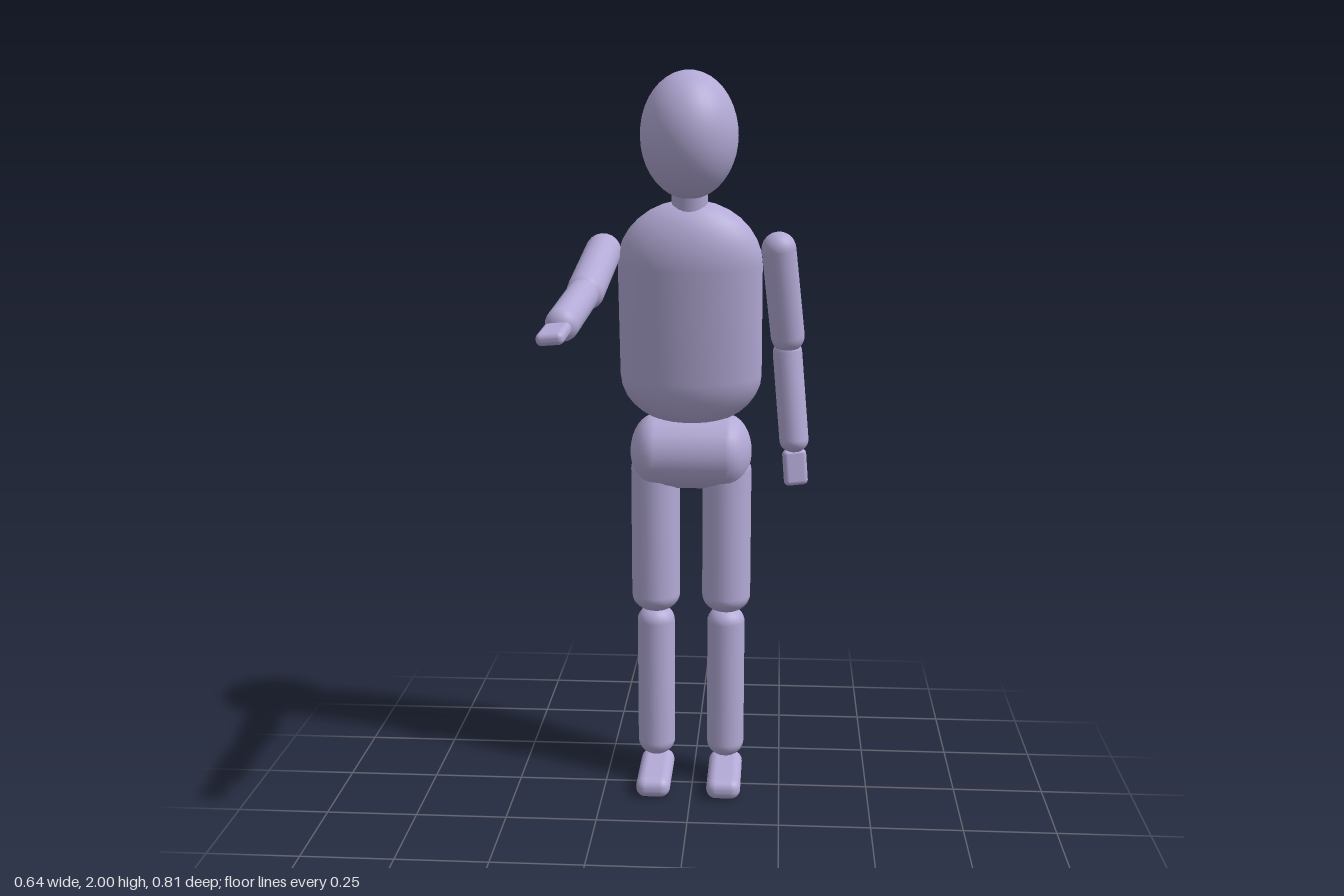
import * as THREE from 'three';
import { RoundedBoxGeometry } from 'three/addons/geometries/RoundedBoxGeometry.js';

const UP = new THREE.Vector3(0, 1, 0);

export function createModel() {
  const lilac = new THREE.MeshStandardMaterial({ color: 0xb3aad6 });
  lilac.name = 'lilac';
  const model = new THREE.Group();
  model.name = 'mannequin';

  const add = (name, geometry, position) => {
    const mesh = new THREE.Mesh(geometry, lilac);
    mesh.name = name;
    mesh.position.set(...position);
    model.add(mesh);
    return mesh;
  };

  // Round bar from tip a to tip b, with elliptical caps; depth squashes its z
  const limb = (name, a, b, radius, capA, capB = capA, depth = 1, sides = 20) => {
    const start = new THREE.Vector3(...a), end = new THREE.Vector3(...b);
    const length = start.distanceTo(end);
    const points = [];
    const steps = 8;
    for (let i = 0; i <= steps; i++) {
      const t = (i / steps) * Math.PI / 2;
      points.push(new THREE.Vector2(radius * Math.sin(t), capA * (1 - Math.cos(t))));
    }
    for (let i = steps; i >= 0; i--) {
      const t = (i / steps) * Math.PI / 2;
      points.push(new THREE.Vector2(radius * Math.sin(t), length - capB * (1 - Math.cos(t))));
    }
    const geometry = new THREE.LatheGeometry(points, sides);
    geometry.scale(1, 1, depth);
    const mesh = add(name, geometry, a);
    mesh.quaternion.setFromUnitVectors(UP, end.sub(start).normalize());
    return mesh;
  };

  // Head, slightly bowed, and neck
  const head = add('head', new THREE.SphereGeometry(1, 32, 20), [-0.006, 1.838, -0.19]);
  head.scale.set(0.127, 0.163, 0.142);
  head.rotation.x = 0.14;
  const neck = add('neck', new THREE.CylinderGeometry(0.048, 0.048, 0.16, 20), [-0.006, 1.65, -0.222]);
  neck.rotation.x = 0.14;

  // Torso leans forward over a sideways pelvis
  limb('torso', [-0.007, 1.055, -0.31], [-0.007, 1.672, -0.222], 0.193, 0.145, 0.17, 0.56, 28);
  limb('pelvis', [-0.175, 0.98, -0.3], [0.161, 0.98, -0.3], 0.104, 0.07);

  // Legs and feet
  for (const [side, x] of [['right', -0.106], ['left', 0.093]]) {
    limb(side + 'Thigh', [x, 0.515, -0.297], [x, 0.98, -0.297], 0.068, 0.05);
    limb(side + 'Shin', [x, 0.075, -0.298], [x, 0.53, -0.298], 0.053, 0.045);
    add(side + 'Foot', new RoundedBoxGeometry(0.096, 0.058, 0.235, 5, 0.027), [x, 0.034, -0.248]);
  }

  // Right arm reaches forward
  limb('rightUpperArm', [-0.233, 1.55, -0.275], [-0.259, 1.444, 0.04], 0.048, 0.045);
  limb('rightForearm', [-0.255, 1.46, 0.015], [-0.279, 1.41, 0.31], 0.041, 0.035);
  const rightHand = add('rightHand', new RoundedBoxGeometry(0.066, 0.03, 0.105, 4, 0.013), [-0.285, 1.405, 0.353]);
  rightHand.rotation.set(0.13, -0.07, 0.1);

  // Left arm hangs down
  limb('leftUpperArm', [0.223, 1.588, -0.232], [0.26, 1.262, -0.3], 0.046, 0.045);
  limb('leftForearm', [0.252, 1.295, -0.305], [0.28, 0.985, -0.278], 0.04, 0.035);
  const leftHand = add('leftHand', new RoundedBoxGeometry(0.066, 0.1, 0.03, 4, 0.013), [0.281, 0.944, -0.276]);
  leftHand.rotation.set(-0.08, 0.2, 0.08);

  return model;
}
